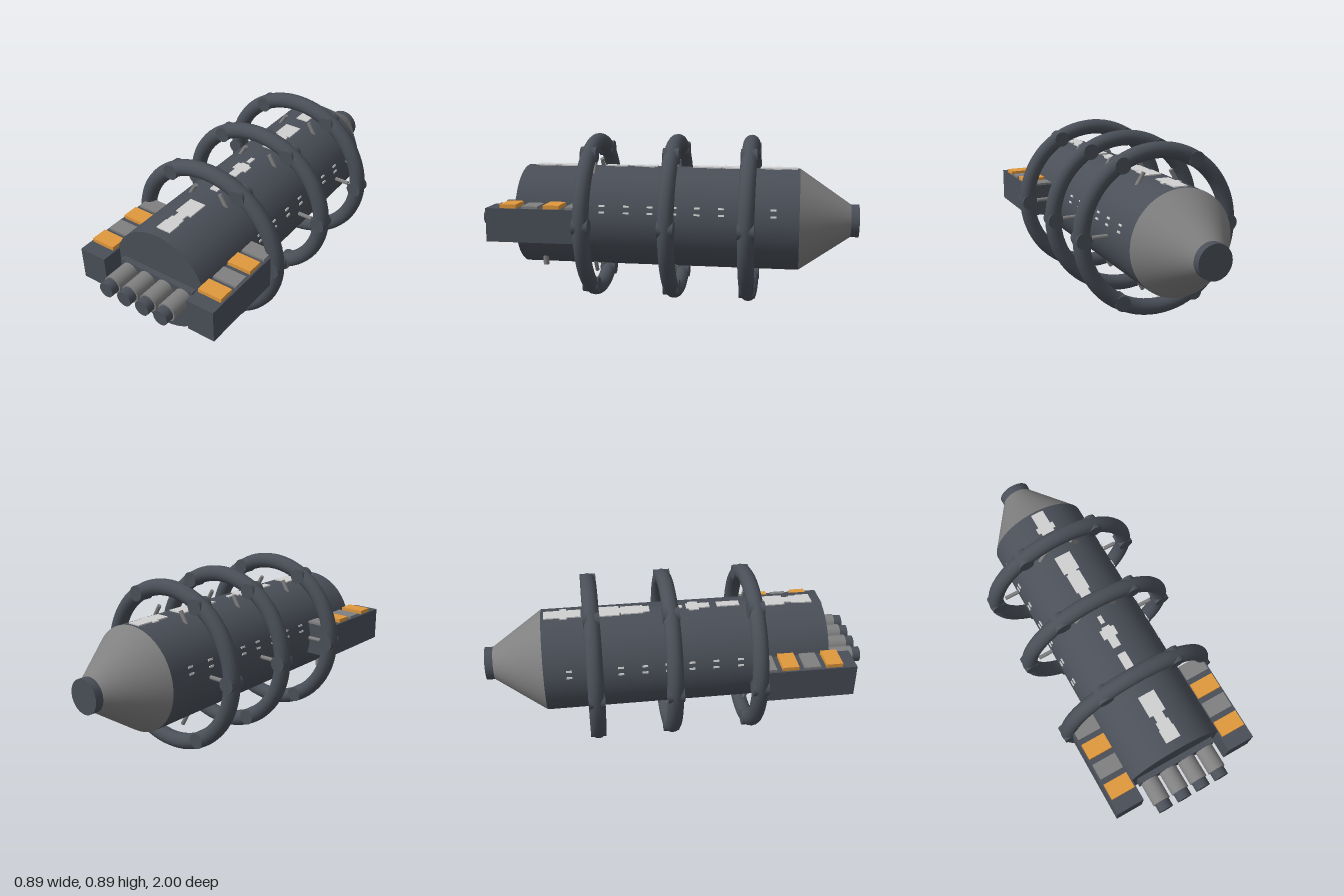
import * as THREE from 'three';

const mat = (name, color) => {
  const m = new THREE.MeshStandardMaterial({ color });
  m.name = name;
  return m;
};

export function createModel() {
  const hull = mat('dark hull', 0x4a4f58);
  const grey = mat('mid grey metal', 0x808080);
  const light = mat('light grey panel', 0xd0d0d0);
  const orange = mat('orange panel', 0xe0983c);

  const model = new THREE.Group();
  model.name = 'spacecraft';
  const CY = 0.45; // height of the main axis

  const add = (name, geometry, material, x, y, z) => {
    const mesh = new THREE.Mesh(geometry, material);
    mesh.name = name;
    mesh.position.set(x, y, z);
    model.add(mesh);
    return mesh;
  };
  const box = (name, material, w, h, d, x, y, z) =>
    add(name, new THREE.BoxGeometry(w, h, d), material, x, y, z);
  // Cylinder along z, from z0 (back) to z1 (front)
  const tubeZ = (name, material, rBack, rFront, z0, z1, x = 0, y = CY, sides = 32) =>
    add(name, new THREE.CylinderGeometry(rFront, rBack, z1 - z0, sides).rotateX(Math.PI / 2),
      material, x, y, (z0 + z1) / 2);

  // Hull, tapered tail and end cap
  tubeZ('hull', hull, 0.27, 0.27, -0.69, 0.8, 0, CY, 64);
  tubeZ('tailCone', grey, 0.085, 0.27, -0.96, -0.69, 0, CY, 64);
  tubeZ('tailCap', hull, 0.087, 0.087, -1, -0.955);

  // Three rings, each with six joints and struts
  for (const z of [0.405, -0.03, -0.43]) {
    add('ring', new THREE.TorusGeometry(0.405, 0.042, 16, 72), hull, 0, CY, z);
    for (let i = 0; i < 6; i++) {
      const a = (i * Math.PI) / 3;
      const c = Math.cos(a), s = Math.sin(a);
      tubeZ('ringJoint', hull, 0.041, 0.041, z - 0.042, z + 0.042, 0.403 * c, CY + 0.403 * s, 20);
      const strut = add('strut', new THREE.CylinderGeometry(0.011, 0.011, 0.2, 10).rotateZ(Math.PI / 2),
        grey, 0.248 * c, CY + 0.248 * s, z);
      strut.rotation.z = -a;
    }
  }

  // Nozzle bank at the front
  box('nozzlePlate', hull, 0.44, 0.1, 0.04, 0, CY, 0.81);
  for (const x of [-0.165, -0.055, 0.055, 0.165]) {
    tubeZ('nozzleSleeve', grey, 0.048, 0.048, 0.82, 0.955, x);
    tubeZ('nozzle', hull, 0.04, 0.04, 0.94, 1, x);
  }

  for (const side of [-1, 1]) {
    // Side pods with a row of alternating tiles
    box('sidePod', hull, 0.15, 0.175, 0.5, side * 0.325, 0.4475, 0.66);
    for (let i = 0; i < 4; i++) {
      const isOrange = i % 2 === 0;
      const h = isOrange ? 0.02 : 0.012;
      box('podTile', isOrange ? orange : grey, 0.13, h, 0.085,
        side * 0.325, 0.535 + h / 2, 0.793 - i * 0.115);
    }

    // Short pegs below the hull
    add('peg', new THREE.CylinderGeometry(0.015, 0.015, 0.07, 16), grey, side * 0.158, 0.225, 0.67);

    // Small pairs of marks along the flanks
    for (const z of [0.33, 0.2, 0.075, -0.05, -0.17, -0.295, -0.42, -0.56]) {
      for (const a of [0.2, 0.325]) {
        const mark = box('flankMark', light, 0.009, 0.01, 0.03,
          side * 0.27 * Math.cos(a), CY + 0.27 * Math.sin(a), z);
        mark.rotation.z = side * a;
      }
    }
  }

  // Stepped light panels along the spine: [start z, end z, width]
  const panels = [
    [-0.675, -0.59, 0.07], [-0.59, -0.555, 0.1], [-0.555, -0.48, 0.07],
    [-0.39, -0.28, 0.09], [-0.28, -0.27, 0.05], [-0.27, -0.155, 0.075], [-0.155, -0.12, 0.055],
    [0.01, 0.055, 0.022], [0.075, 0.087, 0.045], [0.087, 0.14, 0.08], [0.14, 0.2, 0.045],
    [0.24, 0.36, 0.045],
    [0.485, 0.6, 0.09], [0.6, 0.64, 0.05], [0.64, 0.68, 0.07], [0.68, 0.75, 0.08],
  ];
  for (const [z0, z1, w] of panels) {
    box('spinePanel', light, w, 0.006, z1 - z0, 0, 0.7225, (z0 + z1) / 2);
  }

  return model;
}
